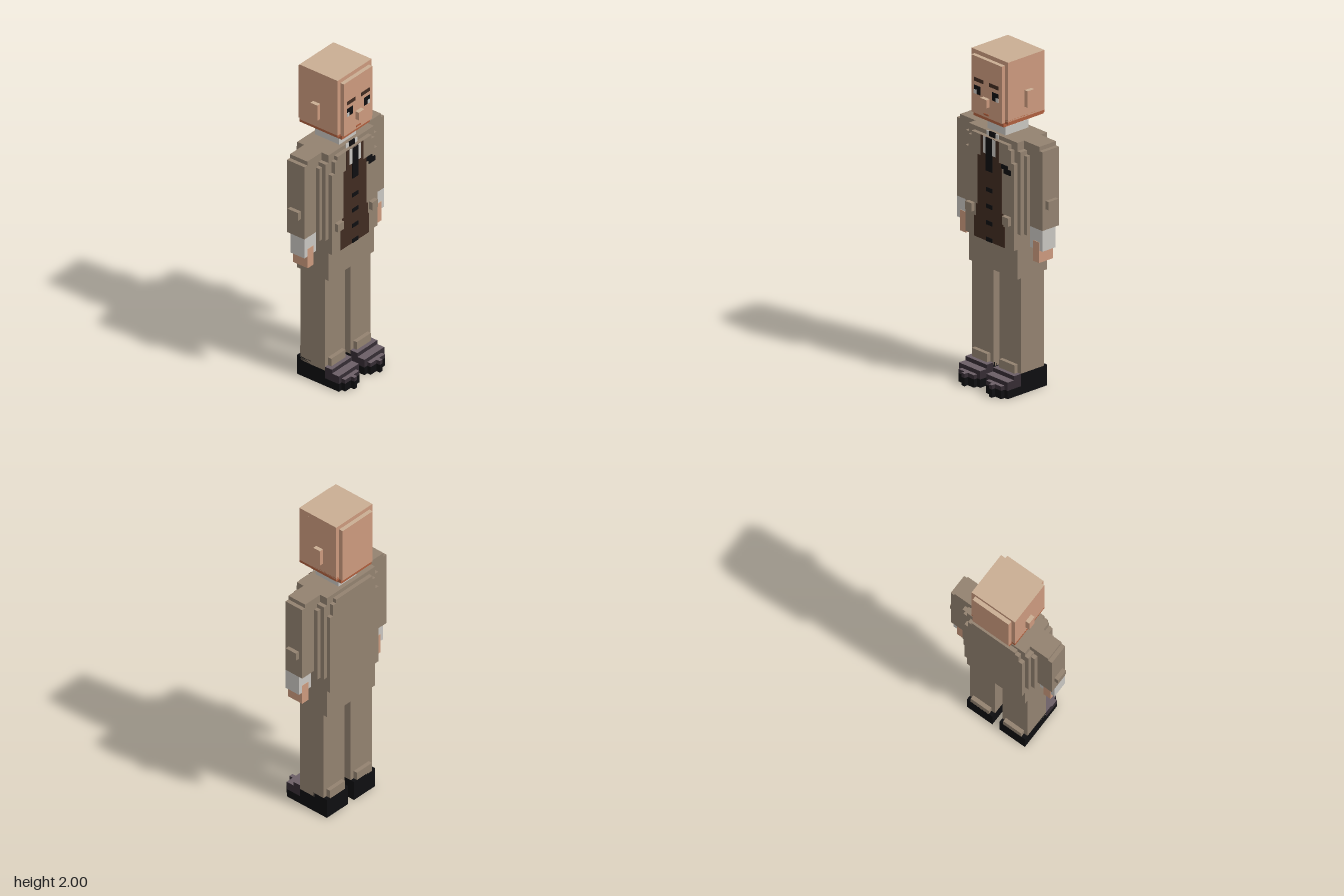
import * as THREE from 'three';

const mat = (name, color) => {
  const m = new THREE.MeshStandardMaterial({ color });
  m.name = name;
  return m;
};

export function createModel() {
  const root = new THREE.Group();
  root.name = 'man';

  const skin = mat('skin', 0xcc9a7e);
  const skinTop = mat('pale skin', 0xc9ad93);
  const skinLow = mat('ruddy skin', 0xb0603f);
  const tweed = mat('tweed', 0x938270);
  const vest = mat('dark brown', 0x402b21);
  const black = mat('black', 0x0e0e10);
  const white = mat('shirt white', 0xc9c6c1);
  const toe = mat('shoe leather', 0x352c33);
  const toeTop = mat('shoe leather top', 0x6b5f66);

  // per-face materials: +x, -x, top, bottom, front, back
  const flesh = [skin, skin, skinTop, skinLow, skin, skin];
  const jawFlesh = [skinLow, skinLow, skinLow, skinLow, skinLow, skinLow];
  const leather = [toe, toe, toeTop, black, toe, toe];

  const group = (name) => {
    const g = new THREE.Group();
    g.name = name;
    root.add(g);
    return g;
  };
  // box from its lower and upper limits on each axis
  const box = (parent, name, material, x0, x1, y0, y1, z0, z1) => {
    const geo = new THREE.BoxGeometry(x1 - x0, y1 - y0, z1 - z0);
    geo.translate((x0 + x1) / 2, (y0 + y1) / 2, (z0 + z1) / 2);
    const m = new THREE.Mesh(geo, material);
    m.name = name;
    parent.add(m);
  };
  // the same box on both sides
  const pair = (parent, name, material, x0, x1, ...rest) => {
    box(parent, name + 'Left', material, x0, x1, ...rest);
    box(parent, name + 'Right', material, -x1, -x0, ...rest);
  };
  // thin painted plate on a front surface
  const plate = (parent, name, material, x0, x1, y0, y1, z, t = 0.003) =>
    box(parent, name, material, x0, x1, y0, y1, z, z + t);
  const platePair = (parent, name, material, x0, x1, y0, y1, z, t) => {
    plate(parent, name + 'Left', material, x0, x1, y0, y1, z, t);
    plate(parent, name + 'Right', material, -x1, -x0, y0, y1, z, t);
  };

  // head with stepped edges
  const head = group('head');
  box(head, 'skull', flesh, -0.15, 0.15, 1.65, 2, -0.175, 0.1);
  box(head, 'faceAndNape', flesh, -0.125, 0.125, 1.65, 1.975, -0.2, 0.125);
  box(head, 'cheeks', flesh, -0.15, 0.15, 1.64, 1.975, -0.175, 0.1);
  box(head, 'jaw', jawFlesh, -0.15, 0.15, 1.625, 1.65, -0.175, 0.1);
  box(head, 'jawFront', flesh, -0.125, 0.125, 1.63, 1.65, -0.2, 0.124);
  box(head, 'chin', jawFlesh, -0.125, 0.125, 1.605, 1.63, -0.19, 0.11);
  box(head, 'nose', flesh, -0.025, 0.025, 1.7, 1.75, 0.12, 0.15);
  pair(head, 'ear', flesh, 0.14, 0.175, 1.7, 1.8, -0.075, -0.025);
  platePair(head, 'eye', black, 0.05, 0.1, 1.75, 1.8, 0.125);
  platePair(head, 'eyeWhite', white, 0.08, 0.1, 1.75, 1.775, 0.125, 0.005);
  platePair(head, 'brow', vest, 0.025, 0.1, 1.825, 1.847, 0.125);
  plate(head, 'mouth', skinLow, -0.02, 0.02, 1.643, 1.653, 0.125);

  // neck and collar
  const neck = group('neck');
  box(neck, 'throat', flesh, -0.05, 0.05, 1.5, 1.62, -0.1, 0.025);
  pair(neck, 'collarSide', white, 0.045, 0.075, 1.52, 1.575, -0.125, 0.05);
  box(neck, 'collarFront', white, -0.075, 0.075, 1.52, 1.575, 0.02, 0.05);
  box(neck, 'collarBack', white, -0.075, 0.075, 1.52, 1.575, -0.125, -0.095);

  // jacket body, built from stepped slabs
  const jacket = group('jacket');
  box(jacket, 'core', tweed, -0.2, 0.2, 0.875, 1.525, -0.15, 0.075);
  box(jacket, 'chestAndBack', tweed, -0.175, 0.175, 0.88, 1.475, -0.175, 0.1);
  box(jacket, 'shoulderBlades', tweed, -0.15, 0.15, 1.4, 1.5, -0.175, 0.1);
  box(jacket, 'hem', tweed, -0.2, 0.2, 0.88, 1.4, -0.175, 0.1);
  pair(jacket, 'flank', tweed, 0.19, 0.225, 0.975, 1.475, -0.15, 0.075);
  pair(jacket, 'pocketFlap', tweed, 0.125, 0.175, 1.025, 1.075, 0.09, 0.125);
  plate(jacket, 'pocketSquare', black, 0.1, 0.15, 1.35, 1.375, 0.1, 0.006);
  plate(jacket, 'pocketSquareTip', black, 0.12, 0.175, 1.325, 1.355, 0.1, 0.006);

  // waistcoat, shirt front and tie
  const front = group('shirtFront');
  plate(front, 'waistcoatSkirt', vest, -0.125, 0.125, 0.875, 1.0, 0.1);
  plate(front, 'waistcoatWaist', vest, -0.112, 0.112, 1.0, 1.075, 0.1);
  plate(front, 'waistcoat', vest, -0.1, 0.1, 1.075, 1.375, 0.1);
  plate(front, 'waistcoatTop', vest, -0.075, 0.075, 1.375, 1.5, 0.1);
  plate(front, 'shirt', white, -0.05, 0.05, 1.4, 1.5, 0.1, 0.005);
  plate(front, 'shirtTop', white, -0.05, 0.05, 1.5, 1.527, 0.075, 0.005);
  plate(front, 'tie', black, -0.025, 0.025, 1.3, 1.5, 0.1, 0.008);
  plate(front, 'tieKnot', black, -0.025, 0.025, 1.5, 1.53, 0.075, 0.009);
  for (const y of [0.875, 0.975, 1.075, 1.175])
    plate(front, 'button', black, -0.025, 0.025, y, y + 0.025, 0.1, 0.006);

  // arms
  const arms = group('arms');
  pair(arms, 'sleeve', tweed, 0.225, 0.35, 1.025, 1.5, -0.1, 0.025);
  pair(arms, 'shoulder', tweed, 0.19, 0.325, 1.4, 1.525, -0.1, 0.025);
  pair(arms, 'innerSleeve', tweed, 0.2, 0.25, 0.975, 1.45, -0.125, 0.05);
  pair(arms, 'elbowPatch', tweed, 0.34, 0.375, 1.15, 1.2, -0.075, 0);
  pair(arms, 'cuff', white, 0.25, 0.35, 0.9, 1.025, -0.075, 0.025);
  pair(arms, 'hand', flesh, 0.275, 0.325, 0.825, 0.95, -0.078, 0.028);

  // trousers
  const trousers = group('trousers');
  box(trousers, 'hips', tweed, -0.2, 0.2, 0.7, 0.9, -0.15, 0.075);
  pair(trousers, 'leg', tweed, 0.025, 0.2, 0.1, 0.72, -0.125, 0.05);
  pair(trousers, 'turnUp', tweed, 0.05, 0.175, 0.12, 0.175, -0.15, 0.075);

  // shoes with stepped toes
  const shoes = group('shoes');
  pair(shoes, 'heel', black, 0.025, 0.2, 0, 0.125, -0.15, 0.05);
  pair(shoes, 'sole', black, 0.025, 0.2, 0, 0.05, 0.04, 0.15);
  pair(shoes, 'soleToe', black, 0.05, 0.175, 0, 0.05, 0.14, 0.175);
  pair(shoes, 'soleTip', black, 0.1, 0.125, 0, 0.05, 0.17, 0.2);
  pair(shoes, 'instep', leather, 0.025, 0.2, 0.05, 0.125, 0.05, 0.1);
  pair(shoes, 'vamp', leather, 0.025, 0.2, 0.05, 0.1, 0.09, 0.15);
  pair(shoes, 'toeCap', leather, 0.05, 0.175, 0.05, 0.075, 0.14, 0.175);
  pair(shoes, 'toeTip', leather, 0.1, 0.125, 0.05, 0.075, 0.17, 0.2);

  return root;
}
